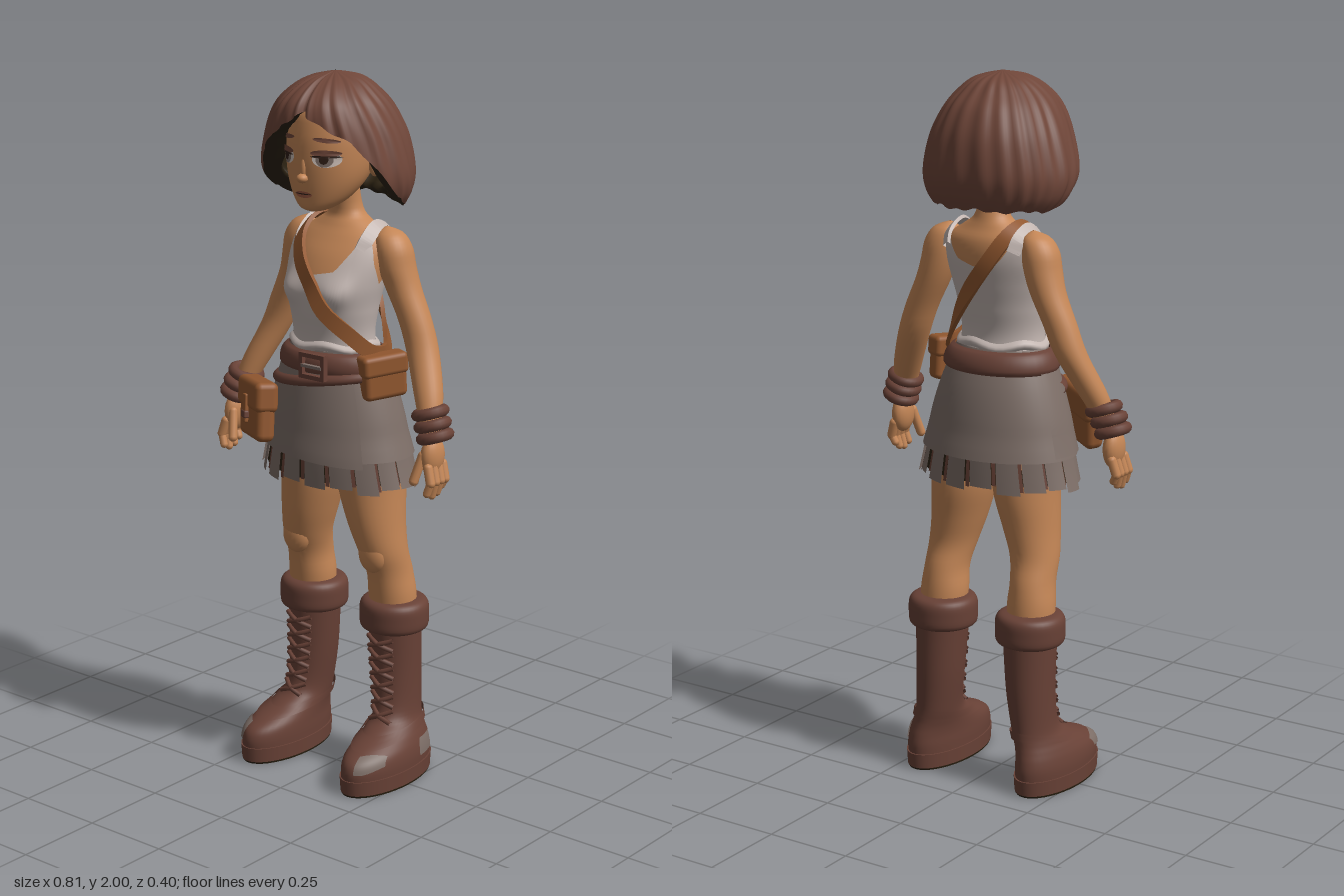
import * as THREE from 'three';
import { mergeVertices, toCreasedNormals } from 'three/addons/utils/BufferGeometryUtils.js';
import { RoundedBoxGeometry } from 'three/addons/geometries/RoundedBoxGeometry.js';

const D = Math.PI / 180;
const mat = (name, color) => new THREE.MeshStandardMaterial({ name, color, side: THREE.DoubleSide });
const V = (x, y, z) => new THREE.Vector3(x, y, z);

// Body cross-sections, rising: [y, centre x, centre z, half width, half depth]
const TORSO = [[0.92, 0, -0.02, 0.12, 0.09], [1.05, 0, -0.01, 0.17, 0.12], [1.16, 0, 0, 0.15, 0.11], [1.27, 0, 0.01, 0.117, 0.088],
  [1.36, 0, 0.01, 0.126, 0.1], [1.43, 0, 0.002, 0.14, 0.108], [1.5, 0, -0.02, 0.15, 0.1], [1.55, 0, -0.037, 0.142, 0.08],
  [1.585, 0, -0.042, 0.09, 0.058], [1.62, 0, -0.043, 0.048, 0.045], [1.7, 0, -0.025, 0.044, 0.045], [1.74, 0, -0.02, 0.044, 0.045]];
const ARM = [[1.05, 0.34, 0.01, 0.028, 0.03], [1.1, 0.325, 0, 0.033, 0.034], [1.16, 0.303, -0.02, 0.041, 0.04], [1.26, 0.258, -0.052, 0.046, 0.043],
  [1.34, 0.226, -0.058, 0.048, 0.044], [1.42, 0.188, -0.057, 0.05, 0.049], [1.48, 0.168, -0.052, 0.052, 0.055],
  [1.53, 0.158, -0.05, 0.051, 0.054], [1.567, 0.146, -0.05, 0.037, 0.038], [1.585, 0.136, -0.05, 0.002, 0.002]];
const LEG = [[0.4, 0.15, -0.08, 0.055, 0.06], [0.52, 0.146, -0.072, 0.068, 0.068], [0.6, 0.144, -0.06, 0.062, 0.07], [0.67, 0.136, -0.038, 0.068, 0.075],
  [0.75, 0.12, -0.03, 0.078, 0.088], [0.85, 0.104, -0.03, 0.09, 0.103], [0.95, 0.1, -0.025, 0.092, 0.108], [1.05, 0.09, -0.02, 0.08, 0.1]];
const BOOT = [[0.03, 0.184, 0.004, 0.08, 0.174], [0.07, 0.184, 0.004, 0.081, 0.176], [0.1, 0.182, -0.002, 0.078, 0.166], [0.125, 0.177, -0.024, 0.072, 0.138],
  [0.15, 0.17, -0.052, 0.065, 0.106], [0.19, 0.162, -0.077, 0.06, 0.08], [0.3, 0.153, -0.084, 0.067, 0.076], [0.44, 0.148, -0.08, 0.075, 0.078]];
const CUFF = [[0.425, 0.148, -0.078, 0.078, 0.078], [0.437, 0.147, -0.078, 0.096, 0.096], [0.47, 0.147, -0.078, 0.099, 0.098],
  [0.5, 0.147, -0.078, 0.097, 0.096], [0.515, 0.147, -0.078, 0.084, 0.084], [0.52, 0.147, -0.076, 0.06, 0.06]];
const SKIRT = [[0.865, 0, -0.012, 0.248, 0.163], [0.95, 0, -0.01, 0.226, 0.159], [1.05, 0, -0.009, 0.206, 0.15],
  [1.15, 0, -0.005, 0.175, 0.132], [1.25, 0, 0.005, 0.135, 0.102]];
const HEAD = [[1.632, 0, 0.095, 0.012, 0.012], [1.642, 0, 0.085, 0.045, 0.042], [1.67, 0, 0.06, 0.08, 0.074], [1.72, 0, 0.035, 0.11, 0.105],
  [1.78, 0, 0.018, 0.124, 0.124], [1.85, 0, 0.008, 0.124, 0.127], [1.91, 0, 0, 0.1, 0.11], [1.95, 0, 0, 0.02, 0.02]];
const HAIR = [[1.635, -0.003, -0.04, 0.172, 0.118], [1.68, -0.005, -0.028, 0.205, 0.156], [1.74, -0.006, -0.014, 0.214, 0.184], [1.83, -0.004, -0.005, 0.19, 0.184],
  [1.9, -0.002, 0.008, 0.155, 0.168], [1.945, 0, 0.014, 0.118, 0.135], [1.982, 0, 0.008, 0.068, 0.08], [2, 0, 0.005, 0.001, 0.001]];

// Smooth interpolation through the cross-sections
function at(rings, s) {
  const n = rings.length - 1, i = Math.min(Math.floor(s), n - 1), f = s - i;
  const [a, b, c, d] = [-1, 0, 1, 2].map(k => rings[Math.max(0, Math.min(n, i + k))]);
  return b.map((_, k) => b[k] + 0.5 * f * (c[k] - a[k] + f * (2 * a[k] - 5 * b[k] + 4 * c[k] - d[k] + f * (3 * (b[k] - c[k]) + d[k] - a[k]))));
}
function level(rings, y) {
  let lo = 0, hi = rings.length - 1;
  for (let k = 0; k < 24; k++) { const m = (lo + hi) / 2; if (at(rings, m)[0] < y) lo = m; else hi = m; }
  return (lo + hi) / 2;
}
// Piecewise linear lookup in [[x, y], ...]
function table(rows, x) {
  const i = Math.max(1, rows.findIndex(r => r[0] >= x)), [a, b] = [rows[i - 1], rows[i]];
  return THREE.MathUtils.lerp(a[1], b[1], (x - a[0]) / (b[0] - a[0]));
}
function grid(fn, nu, nv, crease) {
  const pos = [], idx = [];
  for (let j = 0; j <= nv; j++) for (let i = 0; i <= nu; i++) pos.push(...fn(i / nu, j / nv));
  for (let j = 0; j < nv; j++) for (let i = 0; i < nu; i++) {
    const a = j * (nu + 1) + i, d = a + nu + 1;
    idx.push(a, a + 1, d + 1, a, d + 1, d);
  }
  let g = new THREE.BufferGeometry();
  g.setAttribute('position', new THREE.Float32BufferAttribute(pos, 3));
  g.setIndex(idx);
  g = mergeVertices(g, 1e-5);
  g.computeVertexNormals();
  return crease ? toCreasedNormals(g, crease) : g;
}
// Skin over cross-sections, or a patch of it; t = 0 is the front, 90 degrees is +x
function skin(rings, o = {}) {
  const { t0 = 0, t1 = 360, nu = 40, nv = 30, off = () => 0 } = o;
  const y0 = o.y0 ?? (() => rings[0][0]), y1 = o.y1 ?? (() => rings.at(-1)[0]);
  return grid((u, v) => {
    const t = (t0 + (t1 - t0) * u) * D;
    const s = THREE.MathUtils.lerp(level(rings, y0(t)), level(rings, y1(t)), v);
    const [y, cx, cz, rx, rz] = at(rings, s), d = off(t, y, v) * Math.min(1, rx / 0.05);
    return [cx + Math.max(0.001, rx + d) * Math.sin(t), y, cz + Math.max(0.001, rz + d) * Math.cos(t)];
  }, nu, nv);
}
// Flat strap along a path, facing away from the body's axis
function ribbon(points, w, th, closed) {
  const c = new THREE.CatmullRomCurve3(points.map(p => V(...p)), closed);
  const corners = [[-1, 1], [1, 1], [1, -1], [-1, -1], [-1, 1]];
  return grid((u, v) => {
    const p = c.getPoint(v), T = c.getTangent(v), [b, n] = corners[Math.round(u * 4)];
    const N = p.clone().sub(V(0, Math.min(p.y, 1.44), -0.02)).normalize(), B = T.clone().cross(N).normalize();
    return p.addScaledVector(B, b * w / 2).addScaledVector(N, n * th / 2).toArray();
  }, 4, 60, 0.8);
}
const tube = (pts, r) => new THREE.TubeGeometry(new THREE.CatmullRomCurve3(pts.map(p => V(...p))), 10, r, 6);
function finger(a, b, r) {
  const A = V(...a), B = V(...b), d = B.clone().sub(A), g = new THREE.CapsuleGeometry(r, d.length(), 4, 10);
  g.applyQuaternion(new THREE.Quaternion().setFromUnitVectors(V(0, 1, 0), d.clone().normalize()));
  const m = A.add(B).multiplyScalar(0.5);
  return g.translate(m.x, m.y, m.z);
}
const ball = (x, y, z, a, b, c) => new THREE.SphereGeometry(1, 20, 14).scale(a, b, c).translate(x, y, z);
function mirrored(geo) {
  const g = (geo.index ? geo.clone() : mergeVertices(geo)).scale(-1, 1, 1), ix = g.index;
  for (let i = 0; i < ix.count; i += 3) { const a = ix.getX(i); ix.setX(i, ix.getX(i + 1)); ix.setX(i + 1, a); }
  return g;
}
// Ellipse laid on the face
function decal(cx, cy, w, h, lift, tilt = 0) {
  const g = new THREE.CircleGeometry(1, 20).scale(w, h, 1).rotateZ(tilt).translate(cx, cy, 0), p = g.attributes.position;
  for (let i = 0; i < p.count; i++) {
    const [, , cz, rx, rz] = at(HEAD, level(HEAD, p.getY(i)));
    p.setZ(i, cz + rz * Math.sqrt(Math.max(0, 1 - (p.getX(i) / rx) ** 2)) + lift);
  }
  g.computeVertexNormals();
  return g;
}

export function createModel() {
  const model = new THREE.Group();
  const skinM = mat('skin', 0xc48656), hairM = mat('hair brown', 0x6f4639), under = mat('dark underside', 0x2c2212), topM = mat('shirt white', 0xc2b5b0),
    skirtM = mat('skirt grey', 0x7d6e67), tan = mat('tan leather', 0x91572f), brown = mat('dark leather', 0x684136),
    white = mat('eye white', 0xd0c2ba), dark = mat('dark pupil', 0x2e1d15), lip = mat('lips', 0xa05c44);
  const add = (name, geo, m, parent = model) => { const k = new THREE.Mesh(geo, m); k.name = name; parent.add(k); return k; };
  const pair = (name, geo, m) => { add(name + 'Left', geo, m); add(name + 'Right', mirrored(geo), m); };

  // Body
  add('torso', skin(TORSO, { y0: () => 1.1, nv: 40 }), skinM);
  add('pelvis', ball(0, 1.0, -0.015, 0.17, 0.1, 0.12), under);
  pair('arm', skin(ARM, { nu: 28 }), skinM);
  pair('leg', skin(LEG, { nu: 32 }), skinM);
  pair('knee', ball(0.138, 0.665, 0.01, 0.045, 0.055, 0.03), skinM);
  pair('palm', ball(0.352, 0.995, 0.022, 0.027, 0.055, 0.042), skinM);
  [0.056, 0.034, 0.012, -0.008].forEach((z, i) => {
    const tip = [0.89, 0.88, 0.885, 0.9][i];
    pair('finger' + i, finger([0.363, 0.97, z], [0.375, 0.93, z + 0.004], 0.013), skinM);
    pair('fingertip' + i, finger([0.375, 0.93, z + 0.004], [0.365, tip + 0.01, z + 0.007], 0.011), skinM);
  });
  pair('thumb', finger([0.34, 1.0, 0.05], [0.325, 0.93, 0.07], 0.013), skinM);

  // Head and face
  add('head', skin(HEAD, { nu: 48 }), skinM);
  add('nose', ball(0, 1.727, 0.143, 0.016, 0.013, 0.018), skinM);
  add('noseBridge', ball(0, 1.75, 0.135, 0.011, 0.035, 0.012), skinM);
  pair('ear', ball(0.125, 1.76, -0.01, 0.015, 0.035, 0.022), skinM);
  pair('eyeWhite', decal(0.065, 1.782, 0.034, 0.022, 0.003), white);
  pair('iris', decal(0.063, 1.782, 0.021, 0.021, 0.005), skirtM);
  pair('pupil', decal(0.063, 1.782, 0.011, 0.013, 0.007), dark);
  pair('eyelid', decal(0.065, 1.798, 0.036, 0.009, 0.008), hairM);
  pair('lash', decal(0.066, 1.789, 0.037, 0.003, 0.009), dark);
  pair('eyebrow', decal(0.064, 1.832, 0.033, 0.006, 0.005, -0.1), hairM);
  add('lips', decal(0, 1.683, 0.028, 0.009, 0.006), lip);
  add('mouthLine', decal(0, 1.685, 0.029, 0.0015, 0.008), dark);

  // Bobbed hair, open at the face, with a parting and uneven strands
  const fromPart = t => Math.atan2(Math.sin(t - 0.17), Math.cos(t - 0.17));
  const hem = t => table([[0, 1.905], [20, 1.875], [40, 1.83], [58, 1.755], [75, 1.675], [95, 1.642], [181, 1.645]],
    Math.abs(fromPart(t)) / D) + 0.006 * Math.sin(t * 13) * Math.sin(t * 5 + 1);
  const strands = (t, y) => 0.005 * Math.abs(Math.sin(t * 8 + y * 6 * Math.sin(t))) + 0.003 * Math.sin(t * 23 + 2 * Math.sin(t * 3)) - 0.016 * Math.exp(-((fromPart(t) / 0.07) ** 2));
  const inset = d => Math.min(1, d / 0.02) * (0.028 + 0.03 * Math.exp(-(((d - 0.025) / 0.02) ** 2)));
  add('hair', skin(HAIR, { y0: hem, nu: 144, nv: 40, off: strands }), hairM);
  add('hairInside', skin(HAIR, { y0: hem, nu: 144, nv: 36, off: (t, y) => strands(t, y) - inset(Math.max(0, y - hem(t))) }), under);

  // Tank top
  const neckline = t => table([[0, 1.458], [25, 1.472], [42, 1.545], [58, 1.55], [70, 1.49], [90, 1.435], [112, 1.48], [122, 1.55], [140, 1.55],
    [155, 1.5], [181, 1.48]], Math.abs(Math.atan2(Math.sin(t), Math.cos(t))) / D);
  const bust = (t, y) => 0.007 + 0.018 * [-1, 1].reduce((s, k) => s + Math.exp(-(((Math.atan2(Math.sin(t), Math.cos(t)) - k * 0.55) / 0.33) ** 2) - ((y - 1.41) / 0.04) ** 2), 0);
  add('tankTop', skin(TORSO, { y0: () => 1.23, y1: neckline, nu: 120, nv: 36, off: bust }), topM);
  add('shirtHem', skin(TORSO, { y0: t => 1.245 + 0.006 * Math.sin(5 * t), y1: t => 1.272 + 0.006 * Math.sin(5 * t), nv: 6, off: (t, y, v) => 0.008 + 0.01 * Math.sin(Math.PI * v) }), topM);
  pair('shoulderStrap', ribbon([[0.114, 1.525, 0.036], [0.118, 1.555, 0.015], [0.117, 1.585, -0.035], [0.114, 1.562, -0.09], [0.108, 1.53, -0.107]], 0.038, 0.01), topM);

  // Skirt and wrap panel overhanging a ring of pleats
  const flare = (t, y) => 0.008 * THREE.MathUtils.clamp((1.02 - y) / 0.06, 0, 1);
  add('skirt', skin(SKIRT, { y0: () => 0.955, nu: 56, nv: 16, off: flare }), skirtM);
  add('wrapPanel', skin(SKIRT, { t0: -110, t1: 48, y0: t => 0.95 - 0.015 * Math.sin(t), y1: () => 1.22, nv: 16, off: (t, y) => 0.009 + flare(t, y) * 0.5 }), skirtM);
  add('underskirt', skin(SKIRT, { y0: () => 0.888, y1: () => 1.1, nv: 6, off: () => -0.012 }), under);
  const PLEATS = 18, step = 360 / PLEATS;
  for (let i = 0; i < PLEATS; i++) {
    const a = i * step, drop = 0.873 + 0.008 * Math.sin(i * 2.3), slope = t => ((t / D - a) / step - 0.5);
    add('pleat' + i, skin(SKIRT, { t0: a + 1.6, t1: a + step - 1.6, y0: () => drop, y1: () => 0.965, nu: 5, nv: 4, off: t => 0.007 * slope(t) }), skirtM);
    add('pleatEdge' + i, skin(SKIRT, { t0: a + step - 1.7, t1: a + step + 1.2, y0: () => drop + 0.008, y1: () => 0.965, nu: 2, nv: 4, off: () => -0.004 }), brown);
  }

  // Belts and buckle
  const round = (t, y, v) => 0.004 + 0.016 * Math.sqrt(Math.max(0, Math.sin(Math.PI * v)));
  add('belt', skin(SKIRT, { y0: () => 1.185, y1: () => 1.247, nv: 10, off: round }), brown);
  add('hipBelt', skin(SKIRT, { t0: -80, t1: 95, y0: t => 1.15 + 0.025 * Math.sin(t), y1: t => 1.183 + 0.025 * Math.sin(t), nv: 8, off: round }), brown);
  const buckle = new THREE.Group();
  buckle.name = 'buckle';
  buckle.position.set(0.03, 1.213, 0.138);
  for (const k of [-1, 1]) {
    add('buckleBar', new THREE.BoxGeometry(0.085, 0.012, 0.016), brown, buckle).position.y = k * 0.03;
    add('buckleSide', new THREE.BoxGeometry(0.012, 0.07, 0.016), brown, buckle).position.x = k * 0.038;
  }
  add('bucklePin', new THREE.BoxGeometry(0.07, 0.008, 0.012), skirtM, buckle).position.z = 0.004;
  model.add(buckle);

  // Strap across the body
  add('crossStrap', ribbon([[-0.098, 1.592, -0.04], [-0.093, 1.555, 0.035], [-0.05, 1.495, 0.094], [0.01, 1.43, 0.123], [0.06, 1.37, 0.132], [0.115, 1.305, 0.09],
    [0.15, 1.25, 0.03], [0.148, 1.245, -0.035], [0.1, 1.315, -0.083], [0.03, 1.41, -0.121], [-0.04, 1.5, -0.13], [-0.085, 1.57, -0.1]], 0.042, 0.012, true), tan);

  // Satchel on the right hip
  const box = (w, h, d, r = 0.01) => new RoundedBoxGeometry(w, h, d, 3, r);
  const bag = new THREE.Group();
  bag.name = 'satchel';
  bag.position.set(-0.185, 1.05, 0.122);
  bag.rotation.set(-0.08, -0.58, 0.06);
  add('satchelBody', box(0.185, 0.16, 0.055, 0.02), tan, bag);
  add('satchelFlap', box(0.195, 0.085, 0.068, 0.018), tan, bag).position.y = 0.045;
  add('satchelStrap', box(0.028, 0.08, 0.012, 0.004), tan, bag).position.set(0, 0.005, 0.035);
  add('satchelClasp', box(0.034, 0.022, 0.016, 0.005), brown, bag).position.set(0, -0.012, 0.036);
  model.add(bag);

  // Pouch on the left hip
  const pouch = new THREE.Group();
  pouch.name = 'pouch';
  pouch.position.set(0.175, 1.185, 0.015);
  pouch.rotation.set(0, 1.15, 0.06);
  add('pouchBody', box(0.13, 0.12, 0.05, 0.016), tan, pouch);
  add('pouchFlap', box(0.138, 0.06, 0.06, 0.014), tan, pouch).position.y = 0.035;
  model.add(pouch);

  // Wrist bands
  [[0.353, 1.048, 0.013], [0.342, 1.078, 0.01], [0.329, 1.108, 0.004]].forEach(([x, y, z], i) =>
    pair('wristBand' + i, new THREE.TorusGeometry(0.037, 0.016, 10, 28).rotateX(Math.PI / 2).rotateZ(0.3).translate(x, y, z), brown));

  // Boots
  pair('boot', skin(BOOT, { nu: 44, nv: 40 }), brown);
  pair('sole', new THREE.CylinderGeometry(1, 0.98, 0.042, 40).scale(0.085, 1, 0.18).translate(0.184, 0.027, 0.004), brown);
  pair('outsole', new THREE.CylinderGeometry(0.98, 0.96, 0.006, 40).scale(0.085, 1, 0.18).translate(0.184, 0.003, 0.004), under);
  pair('bootCuff', skin(CUFF, { nv: 20 }), brown);
  pair('ankleStrap', skin(BOOT, { y0: t => 0.14 - 0.02 * Math.cos(t), y1: t => 0.165 - 0.02 * Math.cos(t), nv: 4, off: () => 0.006 }), brown);
  pair('toePatch', skin(BOOT, { t0: 14, t1: 58, y0: t => 0.078 - 0.008 * Math.sin(t * 4), y1: t => 0.108 + 0.008 * Math.sin(t * 3), nu: 12, nv: 8, off: () => 0.004 }), skirtM);
  add('heelPatch', skin(BOOT, { t0: 108, t1: 138, y0: () => 0.07, y1: () => 0.118, nu: 12, nv: 8, off: () => 0.004 }), skirtM);
  for (let i = 0; i < 6; i++) {
    const y = 0.185 + i * 0.042;
    for (const k of [-1, 1]) pair('lace' + i, tube([-1, 0, 1].map(q => {
      const yy = y + k * q * 0.016, [, cx, cz, rx, rz] = at(BOOT, level(BOOT, yy)), a = q * 0.6;
      return [cx + (rx + 0.004) * Math.sin(a), yy, cz + (rz + 0.006) * Math.cos(a)];
    }), 0.007), brown);
  }
  return model;
}
